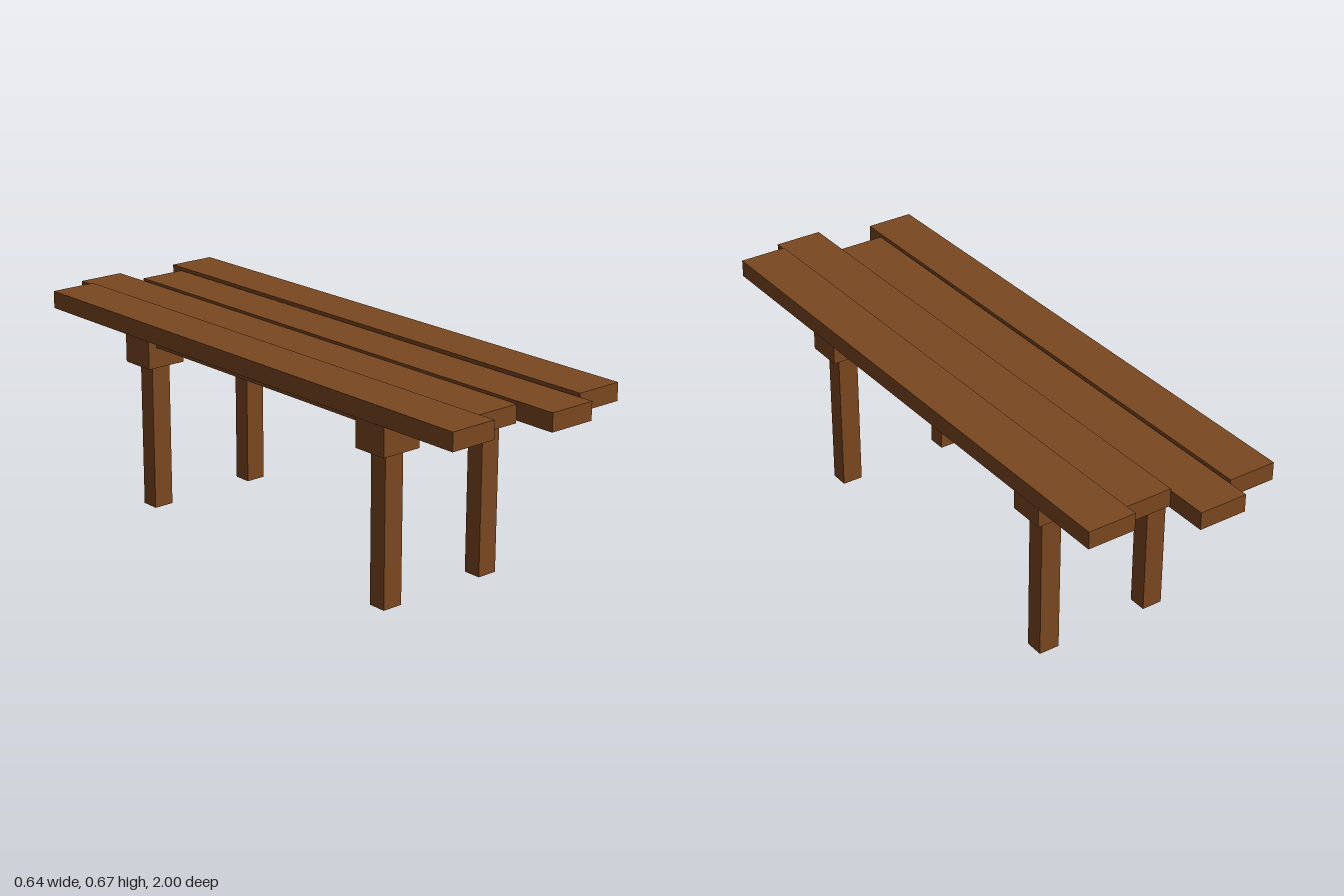
import * as THREE from 'three';

export function createModel() {
  const group = new THREE.Group();
  const wood = new THREE.MeshStandardMaterial({ color: 0x7b4820 });
  wood.name = 'brown wood';

  // Box given by its lower and upper limits on each axis
  const box = (name, [x0, x1], [y0, y1], [z0, z1]) => {
    const mesh = new THREE.Mesh(new THREE.BoxGeometry(x1 - x0, y1 - y0, z1 - z0), wood);
    mesh.position.set((x0 + x1) / 2, (y0 + y1) / 2, (z0 + z1) / 2);
    mesh.name = name;
    group.add(mesh);
  };

  // Four uneven table-top planks
  [
    [[-0.319, -0.163], [0.602, 0.659], [-0.93, 0.94]],
    [[-0.159, -0.002], [0.595, 0.651], [-1, 0.865]],
    [[0, 0.157], [0.602, 0.659], [-0.87, 1]],
    [[0.161, 0.318], [0.613, 0.669], [-0.92, 0.95]],
  ].forEach(([x, y, z], i) => box(`plank${i + 1}`, x, y, z));

  // Each side: two legs with corner blocks, joined by a long rail
  for (const [side, cx] of [['right', -0.196], ['left', 0.189]]) {
    for (const [end, cz] of [['Front', 0.55], ['Back', -0.55]]) {
      box(`${side}${end}Leg`, [cx - 0.034, cx + 0.034], [0, 0.49], [cz - 0.03, cz + 0.03]);
      box(`${side}${end}Block`, [cx - 0.068, cx + 0.068], [0.483, 0.614], [cz - 0.06, cz + 0.06]);
    }
    box(`${side}Rail`, [cx - 0.038, cx + 0.038], [0.55, 0.608], [-0.5, 0.5]);
  }

  // Cross rails under each end
  for (const [name, cz] of [['frontCrossRail', 0.55], ['backCrossRail', -0.55]]) {
    box(name, [-0.14, 0.135], [0.55, 0.608], [cz - 0.034, cz + 0.034]);
  }
  return group;
}
